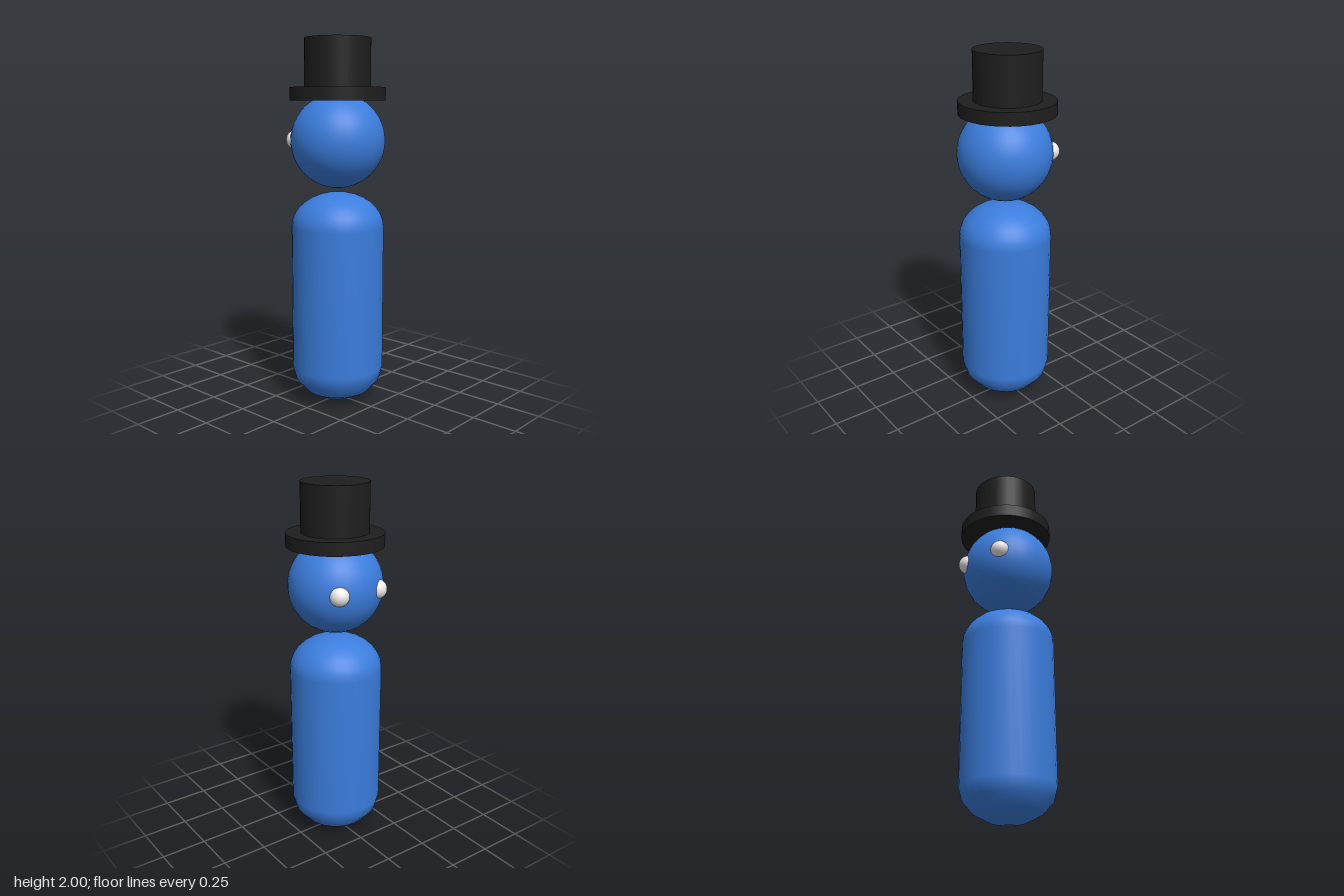
import * as THREE from 'three';

export function createModel() {
  const model = new THREE.Group();
  const blue = new THREE.MeshStandardMaterial({ color: 0x3b7ddd });
  const black = new THREE.MeshStandardMaterial({ color: 0x1e1e1e });
  const white = new THREE.MeshStandardMaterial({ color: 0xf0eaea });

  function add(name, geometry, material, x, y, z) {
    const mesh = new THREE.Mesh(geometry, material);
    mesh.name = name;
    mesh.position.set(x, y, z);
    model.add(mesh);
  }

  // Body: a tall pill with flattened round ends
  const radius = 0.254, height = 1.175, cap = 0.19;
  const profile = [];
  const bottomSteps = 4, topSteps = 8;
  for (let i = 0; i <= bottomSteps; i++) {
    const a = (i / bottomSteps) * Math.PI / 2;
    profile.push(new THREE.Vector2(radius * Math.sin(a), cap * (1 - Math.cos(a))));
  }
  for (let i = 0; i <= topSteps; i++) {
    const a = (i / topSteps) * Math.PI / 2;
    profile.push(new THREE.Vector2(radius * Math.cos(a), height - cap * (1 - Math.sin(a))));
  }
  add('body', new THREE.LatheGeometry(profile, 32), blue, 0.004, 0, 0.005);

  // Head, floating just above the body
  add('head', new THREE.SphereGeometry(0.257, 32, 24), blue, 0.005, 1.454, 0.005);

  // Eyes, on the -x side of the head
  for (const side of [-1, 1]) {
    add(side > 0 ? 'frontEye' : 'backEye', new THREE.SphereGeometry(0.052, 24, 16), white,
      -0.2, 1.457, 0.002 + side * 0.122);
  }

  // Top hat
  add('hatBrim', new THREE.CylinderGeometry(0.26, 0.26, 0.07, 32), black, -0.005, 1.705, -0.005);
  add('hatCrown', new THREE.CylinderGeometry(0.18, 0.18, 0.28, 32), black, -0.005, 1.86, -0.005);

  return model;
}
